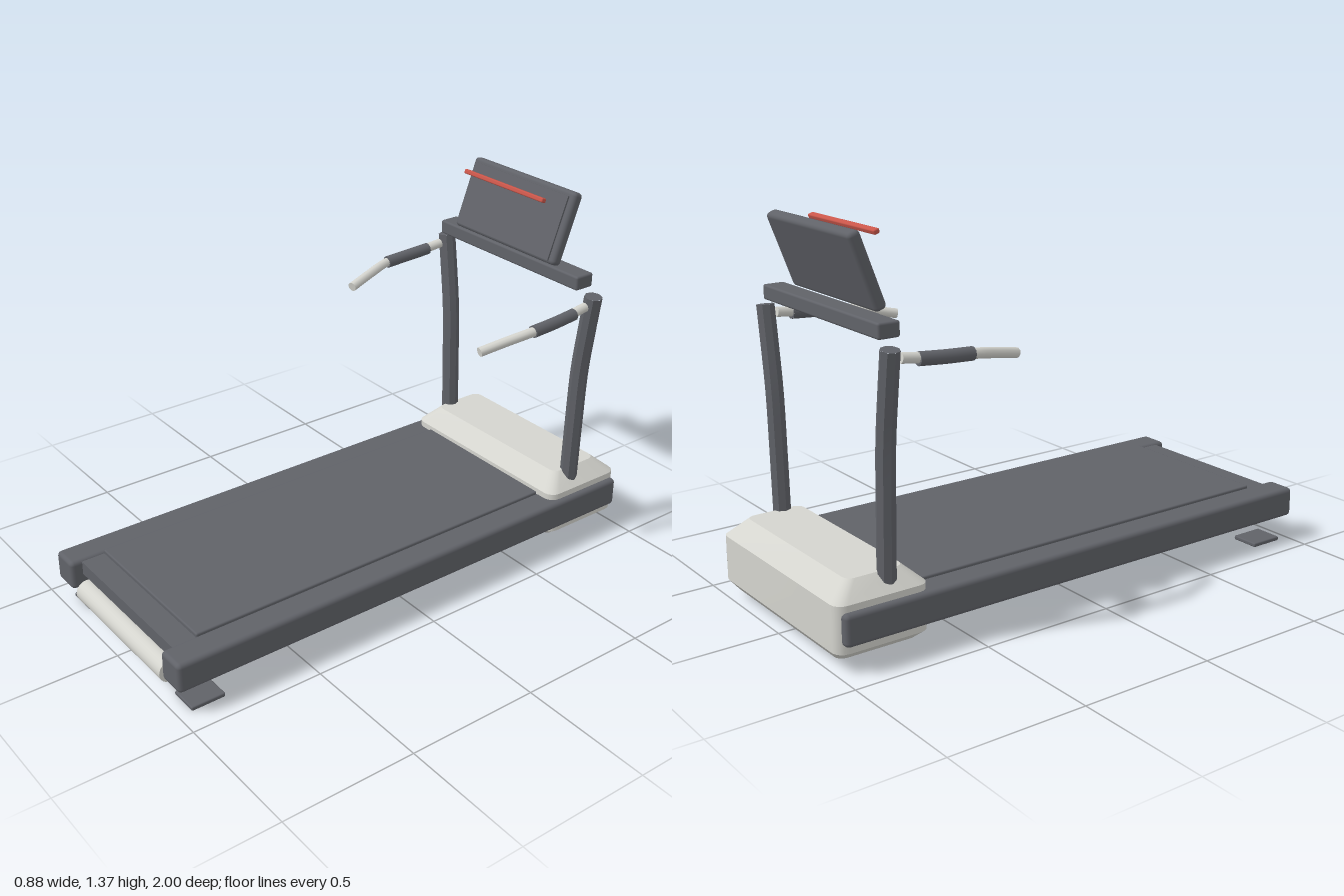
import * as THREE from 'three';
import { RoundedBoxGeometry } from 'three/addons/geometries/RoundedBoxGeometry.js';
import { toCreasedNormals } from 'three/addons/utils/BufferGeometryUtils.js';

const frameGrey = new THREE.MeshStandardMaterial({ color: 0x606268 });
const shellLight = new THREE.MeshStandardMaterial({ color: 0xd4d4ce });
const accentRed = new THREE.MeshStandardMaterial({ color: 0xc9564a });
frameGrey.name = 'frameGrey';
shellLight.name = 'shellLight';
accentRed.name = 'accentRed';

function add(parent, name, geometry, material, x = 0, y = 0, z = 0) {
  const mesh = new THREE.Mesh(geometry, material);
  mesh.name = name;
  mesh.position.set(x, y, z);
  parent.add(mesh);
  return mesh;
}

const softBox = (w, h, d, r) => new RoundedBoxGeometry(w, h, d, 2, r);

// Capped tube through a few points
function addTube(parent, name, points, radius, sides, material, flat) {
  const curve = new THREE.CatmullRomCurve3(points.map((p) => new THREE.Vector3(...p)));
  const group = new THREE.Group();
  group.name = name;
  parent.add(group);
  let geo = new THREE.TubeGeometry(curve, 14, radius, sides, false);
  if (flat) geo = toCreasedNormals(geo, 0.5);
  add(group, name + 'Body', geo, material);
  for (const t of [0, 1]) {
    const p = curve.getPoint(t);
    const dir = curve.getTangent(t).multiplyScalar(t ? 1 : -1);
    const cap = add(group, name + 'Cap', new THREE.CircleGeometry(radius, sides), material, p.x, p.y, p.z);
    cap.quaternion.setFromUnitVectors(new THREE.Vector3(0, 0, 1), dir);
  }
  return group;
}

// Loft of rounded rectangles; each level is [y, halfWidth, zBack, zFront, cornerRadius]
function loft(levels) {
  const steps = 4, n = 4 * (steps + 1), pos = [], index = [];
  for (const [y, hx, z0, z1, r] of levels) {
    const hz = (z1 - z0) / 2, cz = (z0 + z1) / 2;
    for (let q = 0; q < 4; q++) {
      const sx = q === 0 || q === 3 ? 1 : -1, sz = q < 2 ? 1 : -1;
      for (let k = 0; k <= steps; k++) {
        const a = (q + k / steps) * Math.PI / 2;
        pos.push(sx * (hx - r) + r * Math.cos(a), y, cz + sz * (hz - r) + r * Math.sin(a));
      }
    }
  }
  const last = levels.length - 1;
  for (const i of [0, last]) pos.push(0, levels[i][0], (levels[i][2] + levels[i][3]) / 2);
  const bottom = n * levels.length, top = bottom + 1;
  for (let j = 0; j < n; j++) {
    const k = (j + 1) % n;
    for (let i = 0; i < last; i++) {
      const a = i * n + j, b = i * n + k;
      index.push(a, a + n, b, b, a + n, b + n);
    }
    index.push(bottom, j, k, top, last * n + k, last * n + j);
  }
  const geo = new THREE.BufferGeometry();
  geo.setAttribute('position', new THREE.Float32BufferAttribute(pos, 3));
  geo.setIndex(index);
  return toCreasedNormals(geo, 0.55);
}

export function createModel() {
  const model = new THREE.Group();
  model.name = 'treadmill';

  // Running deck, belt and rear roller
  add(model, 'deck', new THREE.BoxGeometry(0.63, 0.05, 1.75), frameGrey, 0, 0.18, 0.08);
  add(model, 'belt', softBox(0.634, 0.03, 1.56, 0.006), frameGrey, 0, 0.205, 0.085);
  const roller = new THREE.CylinderGeometry(0.042, 0.042, 0.58, 24).rotateZ(Math.PI / 2);
  add(model, 'roller', roller, shellLight, 0, 0.098, 0.955);

  // Motor hood
  add(model, 'motorHood', loft([
    [0.04, 0.36, -0.975, -0.68, 0.03],
    [0.072, 0.4, -1, -0.655, 0.04],
    [0.235, 0.4, -1, -0.655, 0.04],
    [0.295, 0.345, -0.93, -0.72, 0.03],
  ]), shellLight);

  for (const s of [1, -1]) {
    const side = s > 0 ? 'left' : 'right';

    // Side rail and foot
    add(model, side + 'Rail', softBox(0.112, 0.112, 1.98, 0.016), frameGrey, s * 0.367, 0.156, 0.009);
    add(model, side + 'Foot', softBox(0.11, 0.016, 0.13, 0.005), frameGrey, s * 0.355, 0.011, 0.885);

    // Upright post, bending outwards near the top
    addTube(model, side + 'Post', [
      [s * 0.35, 0.257, -0.788], [s * 0.357, 0.5, -0.788], [s * 0.366, 0.72, -0.788],
      [s * 0.385, 0.88, -0.788], [s * 0.405, 1.025, -0.788],
    ], 0.033, 8, frameGrey, true);

    // Handlebar with grip sleeve
    addTube(model, side + 'Handle', [
      [s * 0.402, 0.993, -0.75], [s * 0.41, 0.978, -0.62], [s * 0.412, 0.97, -0.49],
      [s * 0.39, 0.953, -0.39], [s * 0.365, 0.932, -0.285],
    ], 0.018, 10, shellLight);
    addTube(model, side + 'Grip', [
      [s * 0.407, 0.982, -0.69], [s * 0.411, 0.975, -0.59], [s * 0.412, 0.97, -0.49],
    ], 0.023, 10, frameGrey);
  }

  // Crossbar
  add(model, 'crossbar', softBox(0.75, 0.053, 0.08, 0.008), frameGrey, 0, 1.076, -0.77);

  // Tilted console with screen and accent strip
  const consoleGroup = new THREE.Group();
  consoleGroup.name = 'console';
  consoleGroup.position.set(0, 1.24, -0.775);
  consoleGroup.rotation.x = -0.36;
  model.add(consoleGroup);
  add(consoleGroup, 'consoleBody', softBox(0.54, 0.272, 0.045, 0.015), frameGrey);
  add(consoleGroup, 'screen', new THREE.BoxGeometry(0.49, 0.24, 0.008), frameGrey, 0, -0.0045, 0.025);
  add(consoleGroup, 'accentStrip', softBox(0.42, 0.017, 0.022, 0.005), accentRed, 0, 0.077, 0.104);

  return model;
}
